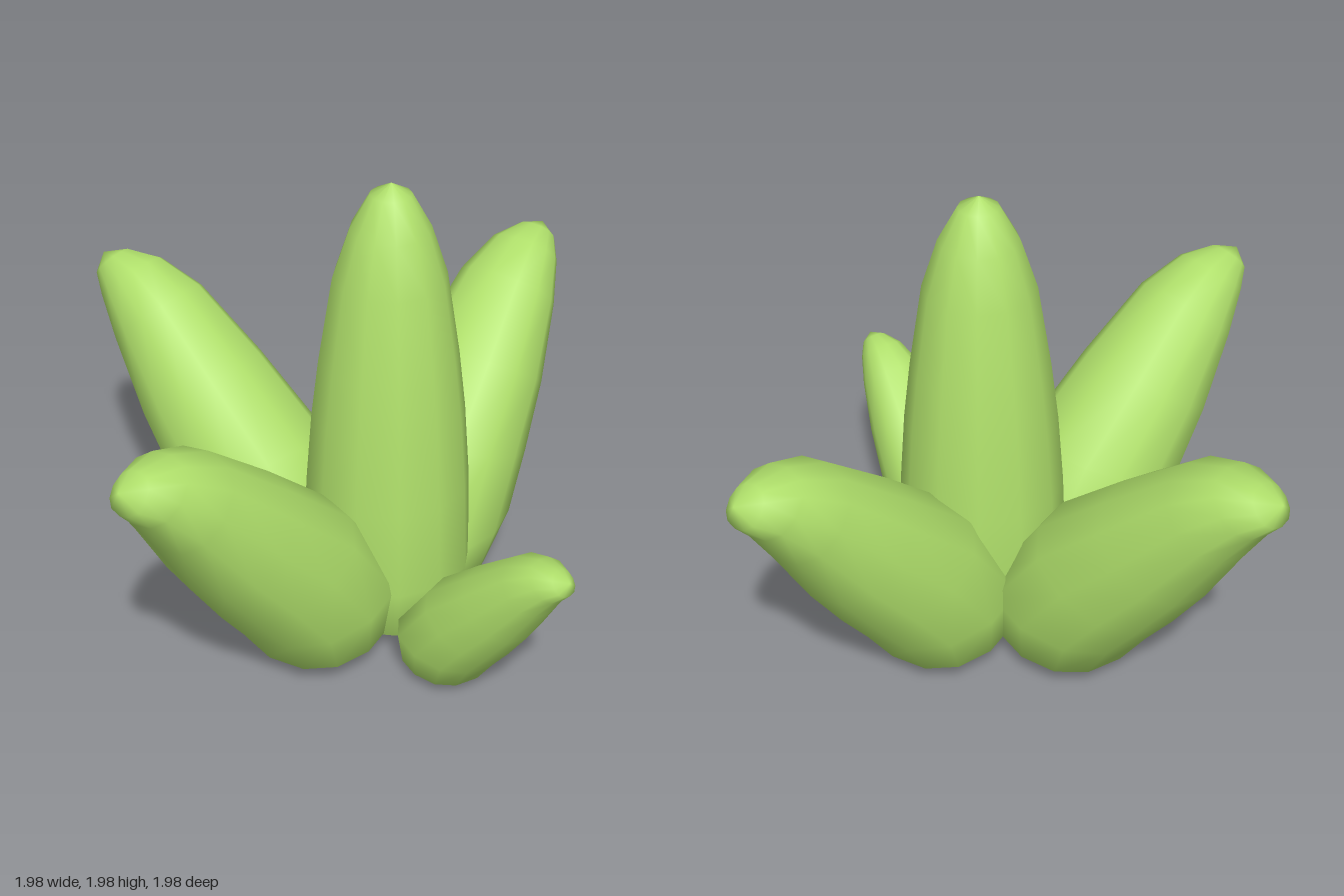
import * as THREE from 'three';

const SIDES = 12;
const TIP_REACH = 1.31;

// Leaf cross-sections: outer edge (reach, height), inner edge (reach, height), half width
const RINGS = [
  [0.47, 0.02, 0.17, 0.03, 0.16],
  [0.61, 0.11, 0.04, 0.11, 0.28],
  [0.74, 0.30, 0.01, 0.35, 0.335],
  [0.87, 0.47, 0.27, 0.72, 0.315],
  [1.02, 0.69, 0.59, 1.00, 0.275],
  [1.18, 0.97, 0.89, 1.24, 0.21],
  [1.28, 1.13, 1.08, 1.32, 0.145],
  [1.34, 1.20, 1.23, 1.325, 0.08],
];

// Slightly squared-off circle
const soften = (v) => Math.sign(v) * Math.abs(v) ** 0.88;

// Curved leaf growing along +x, closed by a pole at each end
function leafGeometry() {
  const pos = [];
  const index = [];
  for (const [ox, oy, ix, iy, w] of RINGS) {
    for (let j = 0; j < SIDES; j++) {
      const a = (j / SIDES) * Math.PI * 2;
      const c = soften(Math.cos(a)) / 2;
      pos.push((ox + ix) / 2 + c * (ox - ix), (oy + iy) / 2 + c * (oy - iy), w * soften(Math.sin(a)));
    }
  }
  const base = RINGS.length * SIDES;
  const tip = base + 1;
  pos.push(0.33, 0.015, 0, 1.335, 1.29, 0);
  const last = base - SIDES;
  for (let j = 0; j < SIDES; j++) {
    const n = (j + 1) % SIDES;
    for (let r = 0; r < last; r += SIDES) {
      const a = r + j, b = r + n;
      index.push(a, a + SIDES, b, b, a + SIDES, b + SIDES);
    }
    index.push(base, j, n, tip, last + n, last + j);
  }
  const g = new THREE.BufferGeometry();
  g.setAttribute('position', new THREE.Float32BufferAttribute(pos, 3));
  g.setIndex(index);
  g.computeVertexNormals();
  return g;
}

export function createModel() {
  const group = new THREE.Group();
  const green = new THREE.MeshStandardMaterial({ color: 0xb0e06b });
  green.name = 'leafGreen';

  // Upright central leaf
  const profile = [
    [0, 0.02], [0.2, 0.025], [0.3, 0.1], [0.345, 0.33], [0.33, 0.7], [0.307, 1.0],
    [0.277, 1.25], [0.222, 1.6], [0.157, 1.8], [0.08, 1.94], [0, 1.985],
  ].map(([x, y]) => new THREE.Vector2(x, y));
  const centre = new THREE.Mesh(new THREE.LatheGeometry(profile, SIDES), green);
  centre.name = 'centreLeaf';
  centre.position.set(0.14, 0, 0.04);
  group.add(centre);

  // Outer leaves: name, tip x, tip z, direction x, direction z, scale
  const geometry = leafGeometry();
  const leaves = [
    ['backLeftLeaf', 0.94, -0.935, 0.64, -0.77, 1],
    ['backRightLeaf', -0.93, -0.88, -0.71, -0.70, 1],
    ['frontRightLeaf', -0.90, 0.90, -0.735, 0.68, 1],
    ['frontLeftSmallLeaf', 0.665, 0.965, 0.55, 0.83, 0.62],
  ];
  for (const [name, tx, tz, dx, dz, s] of leaves) {
    const leaf = new THREE.Mesh(geometry, green);
    const len = Math.hypot(dx, dz);
    leaf.name = name;
    leaf.scale.setScalar(s);
    leaf.rotation.y = Math.atan2(-dz, dx);
    leaf.position.set(tx - (dx / len) * TIP_REACH * s, 0, tz - (dz / len) * TIP_REACH * s);
    group.add(leaf);
  }
  return group;
}
